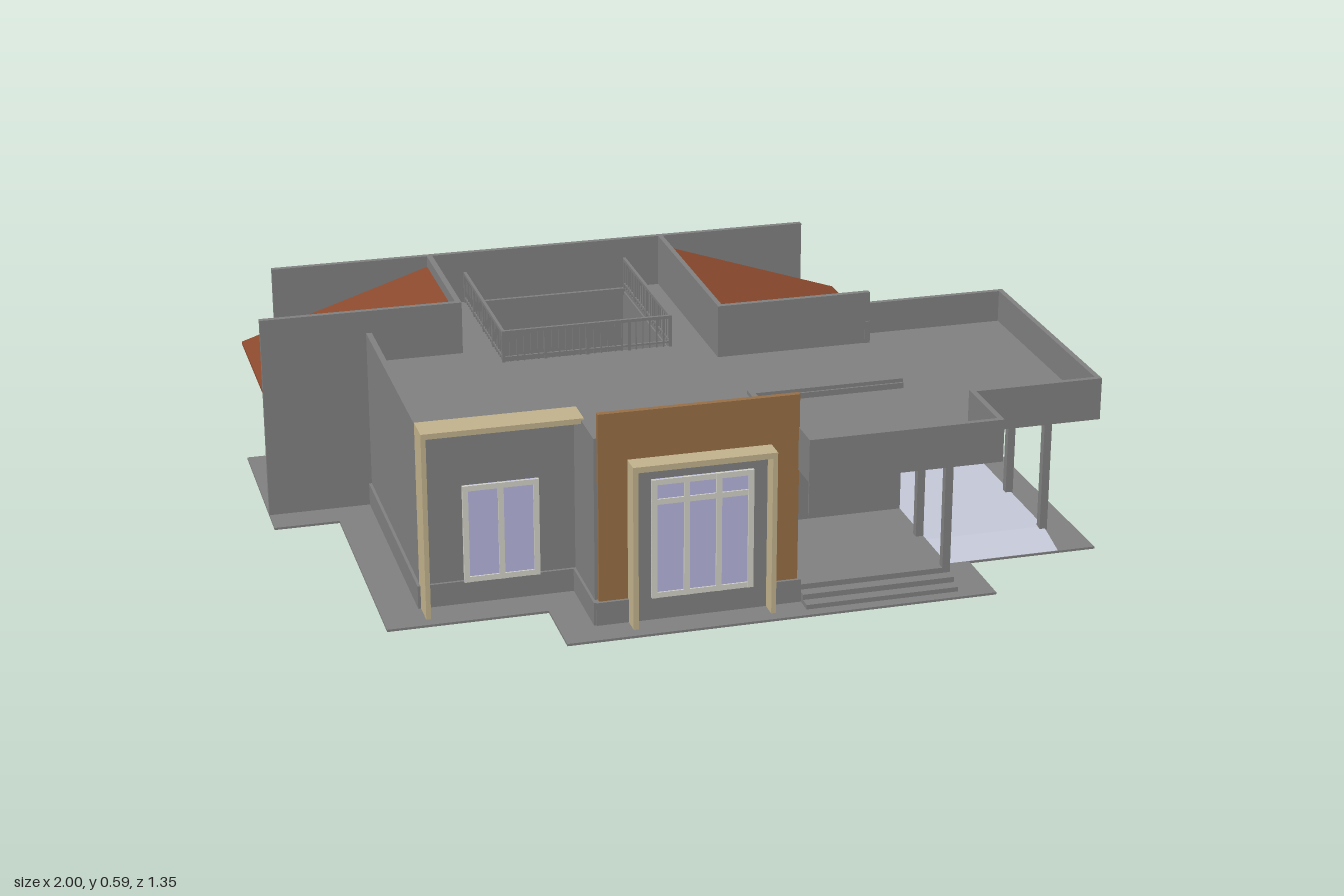
import * as THREE from 'three';

const mat = (name, color, extra = {}) => new THREE.MeshStandardMaterial({ name, color, ...extra });

export function createModel() {
  const house = new THREE.Group();
  house.name = 'house';
  const grey = mat('grey render', 0x808080);
  const brown = mat('brown cladding', 0x976f46);
  const beige = mat('beige trim', 0xc2b28c);
  const red = mat('red roof tile', 0x8c4a2e);
  const glass = mat('lavender glass', 0xb6b6de);
  const cream = mat('cream window frame', 0xd2d2c8);
  const paving = mat('pale paving', 0xc4c7d6);

  const add = (name, geo, m, parent = house) => {
    const mesh = new THREE.Mesh(geo, m);
    mesh.name = name;
    parent.add(mesh);
    return mesh;
  };
  // Box given by its bounds
  const box = (name, m, x0, x1, y0, y1, z0, z1, parent) => {
    const g = new THREE.BoxGeometry(x1 - x0, y1 - y0, z1 - z0);
    g.translate((x0 + x1) / 2, (y0 + y1) / 2, (z0 + z1) / 2);
    return add(name, g, m, parent);
  };
  // Horizontal slab from a plan outline of [x, z] points, with optional holes
  const slab = (name, m, pts, y0, y1, holes = []) => {
    const plan = (p) => p.map(([x, z]) => new THREE.Vector2(x, -z));
    const shape = new THREE.Shape(plan(pts));
    holes.forEach((h) => shape.holes.push(new THREE.Path(plan(h))));
    const g = new THREE.ExtrudeGeometry(shape, { depth: y1 - y0, bevelEnabled: false });
    g.rotateX(-Math.PI / 2);
    g.translate(0, y0, 0);
    return add(name, g, m);
  };
  // Axis-aligned walls following a plan polyline
  const walls = (name, m, pts, y0, y1, t) => {
    const group = new THREE.Group();
    group.name = name;
    for (let i = 0; i + 1 < pts.length; i++) {
      const [a, b] = [pts[i], pts[i + 1]];
      box(name + 'Segment', m,
        Math.min(a[0], b[0]) - t / 2, Math.max(a[0], b[0]) + t / 2, y0, y1,
        Math.min(a[1], b[1]) - t / 2, Math.max(a[1], b[1]) + t / 2, group);
    }
    house.add(group);
  };
  // Window: glass plate with frame and mullions, built facing +z
  const makeWindow = (name, w, y0, y1, cols, transom) => {
    const g = new THREE.Group();
    g.name = name;
    const f = 0.014;
    box('windowGlass', glass, -w / 2, w / 2, y0, y1, 0, 0.004, g);
    for (let i = 0; i <= cols; i++) {
      const x = -w / 2 + f / 2 + (i * (w - f)) / cols;
      box('windowUpright', cream, x - f / 2, x + f / 2, y0, y1, 0, 0.009, g);
    }
    [y0, y1 - f, ...(transom ? [transom] : [])].forEach((y) =>
      box('windowRail', cream, -w / 2, w / 2, y, y + f, 0, 0.008, g));
    house.add(g);
    return g;
  };

  // Ground apron around the raised house
  const footprint = [[-0.91, -0.66], [0.56, -0.66], [0.56, 0.57], [-0.33, 0.57],
    [-0.33, 0.37], [-0.72, 0.37], [-0.72, -0.28], [-0.91, -0.28]];
  slab('groundApron', grey, [[-1, -0.68], [0.65, -0.68], [0.65, -0.21], [0.99, -0.21], [1, 0.48],
    [0.66, 0.48], [0.66, 0.67], [-0.43, 0.67], [-0.43, 0.48], [-0.83, 0.48], [-0.83, -0.19],
    [-1, -0.19]], 0.034, 0.04, [footprint]);

  // Interior floor with the sunken courtyard pit
  const pit = [[-0.32, -0.655], [0, -0.655], [0, -0.245], [-0.32, -0.245]];
  slab('houseFloor', grey, [[-0.91, -0.66], [0.56, -0.66], [0.56, 0.2], [0.17, 0.2], [0.17, 0.57],
    [-0.33, 0.57], [-0.33, 0.37], [-0.72, 0.37], [-0.72, -0.28], [-0.91, -0.28]], 0.09, 0.1, [pit]);
  box('courtyardPitFloor', grey, -0.32, 0, 0, 0.008, -0.655, -0.245);
  walls('courtyardPitWall', grey, [...pit, pit[0]], 0, 0.1, 0.006);

  // Outer walls
  box('backWall', grey, -0.91, 0.57, 0.036, 0.58, -0.675, -0.66);
  box('backPlinth', grey, -0.915, 0.575, 0.036, 0.095, -0.68, -0.66);
  box('leftWingGable', grey, -1, -0.48, 0.036, 0.58, -0.29, -0.275);
  box('leftWingRidgeWall', grey, -0.49, -0.475, 0.1, 0.58, -0.66, -0.275);
  box('leftWingSideWall', grey, -0.91, -0.9, 0.036, 0.405, -0.66, -0.285);
  box('rightWingGable', grey, 0.165, 0.57, 0.1, 0.58, -0.085, -0.07);
  box('rightWingRidgeWall', grey, 0.157, 0.17, 0.1, 0.58, -0.66, -0.07);
  box('rightSideWall', grey, 0.555, 0.57, 0.036, 0.405, -0.66, 0.2);
  box('porchBackWall', grey, 0.17, 0.57, 0.036, 0.43, 0.19, 0.205);
  box('porchSideWall', grey, 0.155, 0.17, 0.036, 0.45, 0.2, 0.57);
  walls('mainWall', grey, [[-0.72, -0.28], [-0.72, 0.37], [-0.33, 0.37], [-0.33, 0.565]], 0.036, 0.52, 0.015);
  walls('mainPlinth', grey, [[-0.721, -0.27], [-0.721, 0.371], [-0.33, 0.371], [-0.33, 0.575]], 0.036, 0.1, 0.028);

  // Flat main roof with the courtyard opening
  slab('mainRoof', grey, [[-0.72, 0.37], [-0.33, 0.37], [-0.33, 0.57], [0.17, 0.57], [0.17, 0.2],
    [0.57, 0.2], [0.57, -0.08], [0.16, -0.08], [0.16, -0.66], [-0.48, -0.66], [-0.48, -0.28],
    [-0.72, -0.28]], 0.42, 0.44,
  [[[-0.385, -0.65], [0.06, -0.65], [0.06, -0.185], [-0.385, -0.185]]]);

  // Courtyard enclosure and railings around the opening
  walls('courtyardWall', grey, [[-0.39, -0.66], [-0.39, -0.18], [0.06, -0.18], [0.06, -0.66]], 0.1, 0.43, 0.008);
  const rail = [[-0.387, -0.655], [-0.387, -0.183], [0.06, -0.183], [0.06, -0.655]];
  walls('railingTop', grey, rail, 0.518, 0.526, 0.008);
  walls('railingBottom', grey, rail, 0.45, 0.455, 0.006);
  for (let s = 0; s < 3; s++) {
    const [a, b] = [rail[s], rail[s + 1]];
    for (let i = 0; i <= 24; i++) {
      const x = a[0] + ((b[0] - a[0]) * i) / 24, z = a[1] + ((b[1] - a[1]) * i) / 24;
      const r = i % 6 ? 0.0018 : 0.004;
      box('railingBaluster', grey, x - r, x + r, 0.44, 0.52, z - r, z + r);
    }
  }

  // Sloping tiled roofs, high at the inner edge
  const slope = (name, xHigh, xLow, z0, z1) => {
    const pts = [[xHigh, 0.55], [xLow, 0.385], [xLow, 0.377], [xHigh, 0.54]];
    const shape = new THREE.Shape(pts.map(([x, y]) => new THREE.Vector2(x, y)));
    const g = new THREE.ExtrudeGeometry(shape, { depth: z1 - z0, bevelEnabled: false });
    g.translate(0, 0, z0);
    add(name, g, red);
  };
  slope('leftTiledRoof', -0.49, -1, -0.66, -0.29);
  slope('rightTiledRoof', 0.17, 0.665, -0.66, -0.085);

  // Brown feature wall and beige portal
  box('featureWall', brown, -0.33, 0.17, 0.04, 0.585, 0.57, 0.585);
  box('featurePlinth', grey, -0.338, 0.178, 0.036, 0.1, 0.57, 0.593);
  box('portalPanel', grey, -0.25, 0.1, 0.04, 0.46, 0.58, 0.594);
  box('portalLeftFin', beige, -0.258, -0.245, 0.04, 0.46, 0.58, 0.638);
  box('portalRightFin', beige, 0.088, 0.1, 0.04, 0.46, 0.58, 0.638);
  box('portalTop', beige, -0.258, 0.1, 0.448, 0.463, 0.58, 0.638);
  box('wingFrameFin', beige, -0.728, -0.716, 0.04, 0.522, 0.37, 0.45);
  box('wingFrameTop', beige, -0.728, -0.33, 0.51, 0.524, 0.37, 0.45);

  // Windows
  makeWindow('portalWindow', 0.255, 0.1, 0.41, 3, 0.345).position.set(-0.075, 0, 0.594);
  makeWindow('wingWindow', 0.19, 0.1, 0.355, 2).position.set(-0.525, 0, 0.386);
  [[0.45, 0.125], [0.315, 0.11]].forEach(([z, w]) => {
    const win = makeWindow('porchWindow', w, 0.1, 0.35, 2);
    win.rotation.y = Math.PI / 2;
    win.position.set(0.17, 0, z);
  });

  // Porch floor, steps, door
  box('porchFloor', grey, 0.17, 0.57, 0.06, 0.08, 0.2, 0.58);
  box('porchUpperStep', grey, 0.178, 0.57, 0.04, 0.066, 0.57, 0.61);
  box('porchLowerStep', grey, 0.178, 0.57, 0.04, 0.052, 0.57, 0.64);
  box('frontDoor', grey, 0.32, 0.51, 0.09, 0.36, 0.204, 0.212);

  // Carport floor with its entry ramp
  const ramp = new THREE.Shape([[-0.48, 0.041], [-0.38, 0.066], [0.11, 0.066], [0.11, 0.041]]
    .map(([x, y]) => new THREE.Vector2(x, y)));
  const rampGeo = new THREE.ExtrudeGeometry(ramp, { depth: 0.33, bevelEnabled: false });
  rampGeo.rotateY(Math.PI / 2);
  rampGeo.translate(0.57, 0, 0);
  add('carportFloor', rampGeo, paving);

  // Posts and beams
  const post = (x, z) => box('canopyPost', grey, x - 0.01, x + 0.01, 0.04, 0.395, z - 0.01, z + 0.01);
  [[0.895, 0.38], [0.895, 0.14], [0.895, -0.108], [0.56, 0.57], [0.56, 0.375]].forEach(([x, z]) => post(x, z));
  walls('canopyBeam', grey, [[0.17, 0.57], [0.56, 0.57], [0.56, 0.38], [0.895, 0.38], [0.895, -0.108], [0.57, -0.108]],
    0.37, 0.395, 0.018);

  // Canopy roof with its parapet
  slab('canopyRoof', grey, [[0.17, 0.67], [0.66, 0.67], [0.66, 0.475], [0.995, 0.475], [0.995, -0.21],
    [0.565, -0.21], [0.565, 0.2], [0.17, 0.2]], 0.39, 0.415);
  walls('canopyParapet', grey, [[0.175, 0.58], [0.175, 0.663], [0.655, 0.663], [0.655, 0.47], [0.989, 0.47],
    [0.989, -0.205], [0.565, -0.205], [0.565, -0.075]], 0.39, 0.5, 0.014);

  return house;
}
